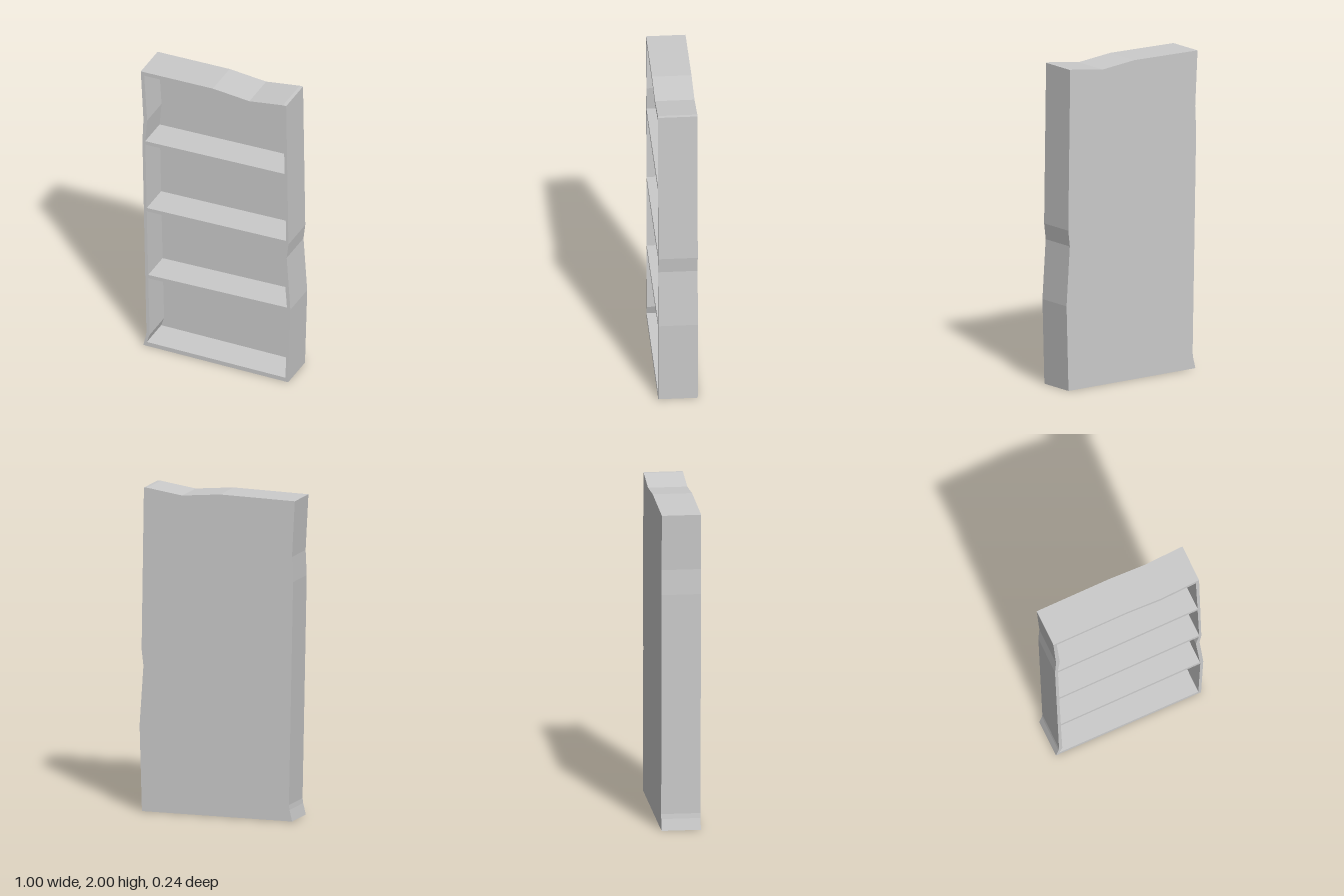
import * as THREE from 'three';

const DEPTH = 0.24, BACK = 0.035;

// wobbly outer silhouette, counter-clockwise from the bottom corner
const OUTLINE = [
  [-0.486, 0], [0.485, 0], [0.5, 0.53], [0.475, 0.9], [0.487, 1.0], [0.472, 2], [0.45, 2],
  [0.225, 1.967], [-0.02, 1.99], [-0.503, 1.98], [-0.485, 1.635], [-0.492, 1.48], [-0.465, 0.1], [-0.469, 0.07],
];

// compartment openings, top to bottom
const OPENINGS = [
  [[-0.48, 1.955], [-0.01, 1.965], [0.22, 1.94], [0.45, 1.97], [0.462, 1.505], [-0.473, 1.482], [-0.46, 1.635]],
  [[-0.472, 1.457], [0.462, 1.477], [0.472, 1.022], [-0.463, 1.0]],
  [[-0.463, 0.975], [0.471, 0.995], [0.45, 0.9], [0.477, 0.54], [-0.453, 0.517]],
  [[-0.453, 0.492], [0.48, 0.512], [0.467, 0.028], [-0.462, 0.028], [-0.443, 0.085]],
];

const toPoints = (list) => list.map(([x, y]) => new THREE.Vector2(x, y));

export function createModel() {
  const group = new THREE.Group();
  group.name = 'bookcase';
  const material = new THREE.MeshStandardMaterial({ color: 0xcccccc });

  // extrude a board from z0 to z1
  const addBoard = (name, shape, z0, z1) => {
    const geometry = new THREE.ExtrudeGeometry(shape, { depth: z1 - z0, bevelEnabled: false });
    geometry.translate(0, 0, z0);
    const mesh = new THREE.Mesh(geometry, material);
    mesh.name = name;
    group.add(mesh);
  };

  // surround and shelves: the outline with four openings cut through
  const frame = new THREE.Shape(toPoints(OUTLINE));
  OPENINGS.forEach((o) => frame.holes.push(new THREE.Path(toPoints(o))));
  addBoard('frameAndShelves', frame, -DEPTH / 2 + BACK, DEPTH / 2);

  // solid back
  addBoard('backPanel', new THREE.Shape(toPoints(OUTLINE)), -DEPTH / 2, -DEPTH / 2 + BACK);

  return group;
}
